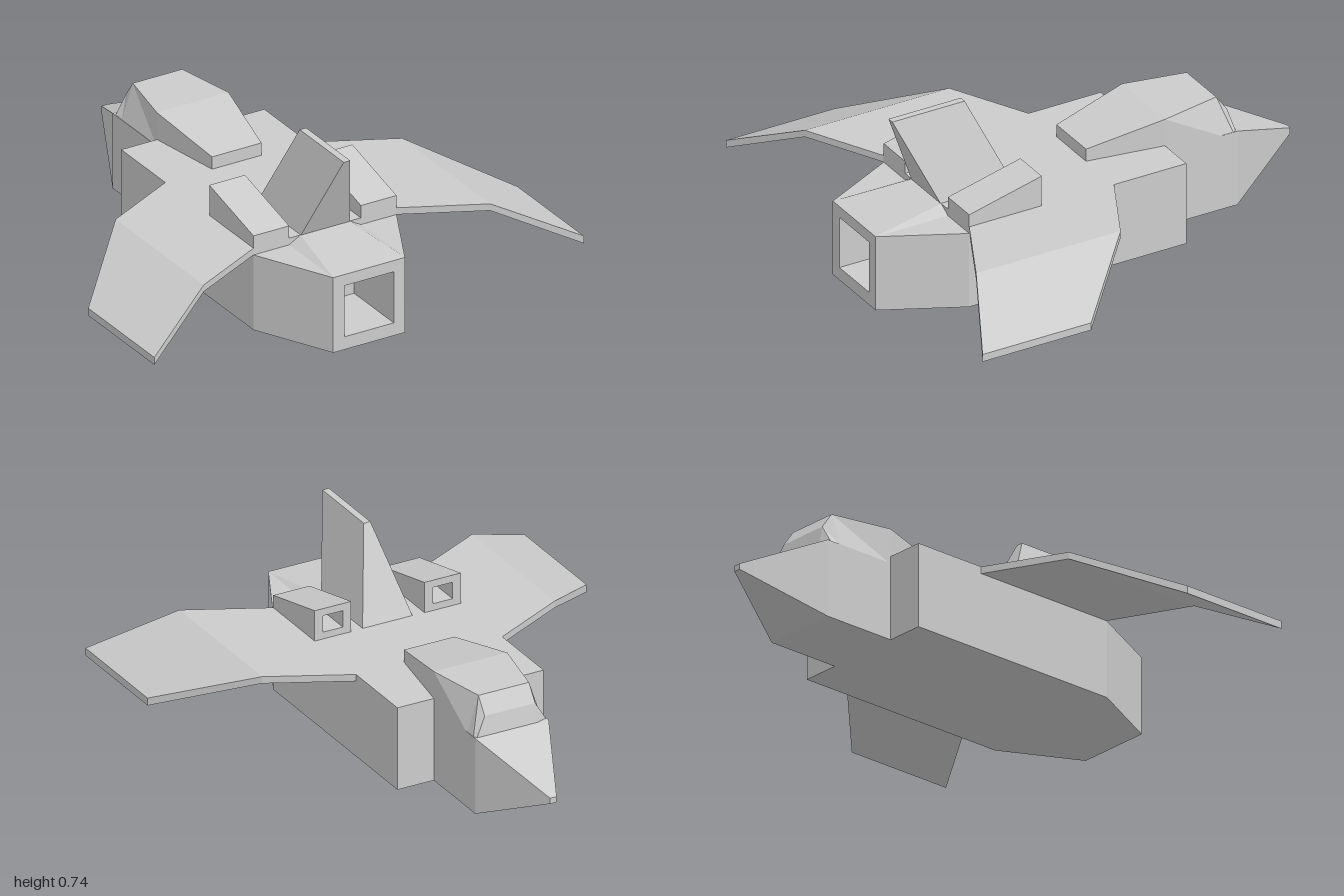
import * as THREE from 'three';

const material = new THREE.MeshStandardMaterial({ color: 0xcccccc, flatShading: true });

// Skin a list of four-cornered rings and close both ends.
function loft(name, rings) {
  const pos = [];
  const quad = (a, b, c, d) => pos.push(...a, ...b, ...c, ...a, ...c, ...d);
  const first = rings[0], last = rings[rings.length - 1];
  quad(first[3], first[2], first[1], first[0]);
  for (let i = 0; i + 1 < rings.length; i++) {
    const a = rings[i], b = rings[i + 1];
    for (let j = 0; j < 4; j++) {
      const k = (j + 1) % 4;
      quad(a[j], a[k], b[k], b[j]);
    }
  }
  quad(...last);
  const geometry = new THREE.BufferGeometry();
  geometry.setAttribute('position', new THREE.Float32BufferAttribute(pos, 3));
  geometry.computeVertexNormals();
  const mesh = new THREE.Mesh(geometry, material);
  mesh.name = name;
  return mesh;
}

// Trapezoid cross-section at z, listed counter-clockwise seen from +z.
const section = (z, y0, y1, wBottom, wTop = wBottom, cx = 0) => [
  [cx - wBottom, y0, z], [cx + wBottom, y0, z], [cx + wTop, y1, z], [cx - wTop, y1, z],
];

// Wing cross-section at x, listed counter-clockwise seen from +x.
const rib = (x, y0, y1, z0, z1) => [[x, y0, z0], [x, y1, z0], [x, y1, z1], [x, y0, z1]];

export function createModel() {
  const model = new THREE.Group();

  // Hull: tapering tail with a square exhaust recess
  model.add(loft('hull', [
    section(-0.333, 0, 0.335, 0.333),
    section(0.667, 0, 0.335, 0.333),
    section(1, 0, 0.335, 0.167),
    section(1, 0.057, 0.285, 0.115),
    section(0.7, 0.057, 0.285, 0.115),
  ]));

  // Deck over the hull, and the spine sloping down to the tail
  model.add(loft('deck', [
    section(-0.333, 0.33, 0.365, 0.333),
    section(0.667, 0.33, 0.365, 0.333),
  ]));
  model.add(loft('tailSpine', [
    section(0.667, 0.335, 0.365, 0.167, 0.115),
    section(1, 0.335, 0.335, 0.167),
  ]));

  // Forward fuselage and pointed nose
  model.add(loft('nose', [
    section(-1, 0.155, 0.18, 0.015),
    section(-0.667, 0, 0.335, 0.167),
    section(-0.333, 0, 0.335, 0.167),
  ]));

  // Faceted canopy
  model.add(loft('canopy', [
    section(-0.665, 0.33, 0.336, 0.16, 0.115),
    section(-0.65, 0.33, 0.415, 0.167, 0.115),
    section(-0.6, 0.33, 0.485, 0.167, 0.115),
    section(-0.333, 0.33, 0.485, 0.167),
    section(0, 0.33, 0.42, 0.115),
  ]));

  // Swept tail fin, skinned from its base up to its tip
  const finRing = (y, z0, z1, w) => [[-w, y, z0], [-w, y, z1], [w, y, z1], [w, y, z0]];
  model.add(loft('tailFin', [
    finRing(0.36, 0.333, 0.667, 0.115),
    finRing(0.735, 0.5, 0.833, 0.015),
  ]));

  // Drooping wings
  const ribs = [
    rib(0.333, 0.335, 0.365, 0, 0.667),
    rib(0.667, 0.335, 0.365, 0.167, 0.833),
    rib(1, 0.172, 0.205, 0.5, 1),
  ];
  const mirrored = ribs.map((r) => r.map(([x, y, z]) => [-x, y, z])).reverse();
  model.add(loft('leftWing', ribs), loft('rightWing', mirrored));

  // Wedge intakes, hollow toward the nose
  for (const [name, cx] of [['leftIntake', 0.25], ['rightIntake', -0.25]]) {
    const ring = (z, y0, y1, w) => section(z, y0, y1, w, w, cx);
    model.add(loft(name, [
      ring(0.5, 0.395, 0.435, 0.045),
      ring(0.333, 0.395, 0.468, 0.045),
      ring(0.333, 0.36, 0.5, 0.083),
      ring(0.667, 0.36, 0.42, 0.083),
    ]));
  }

  return model;
}
